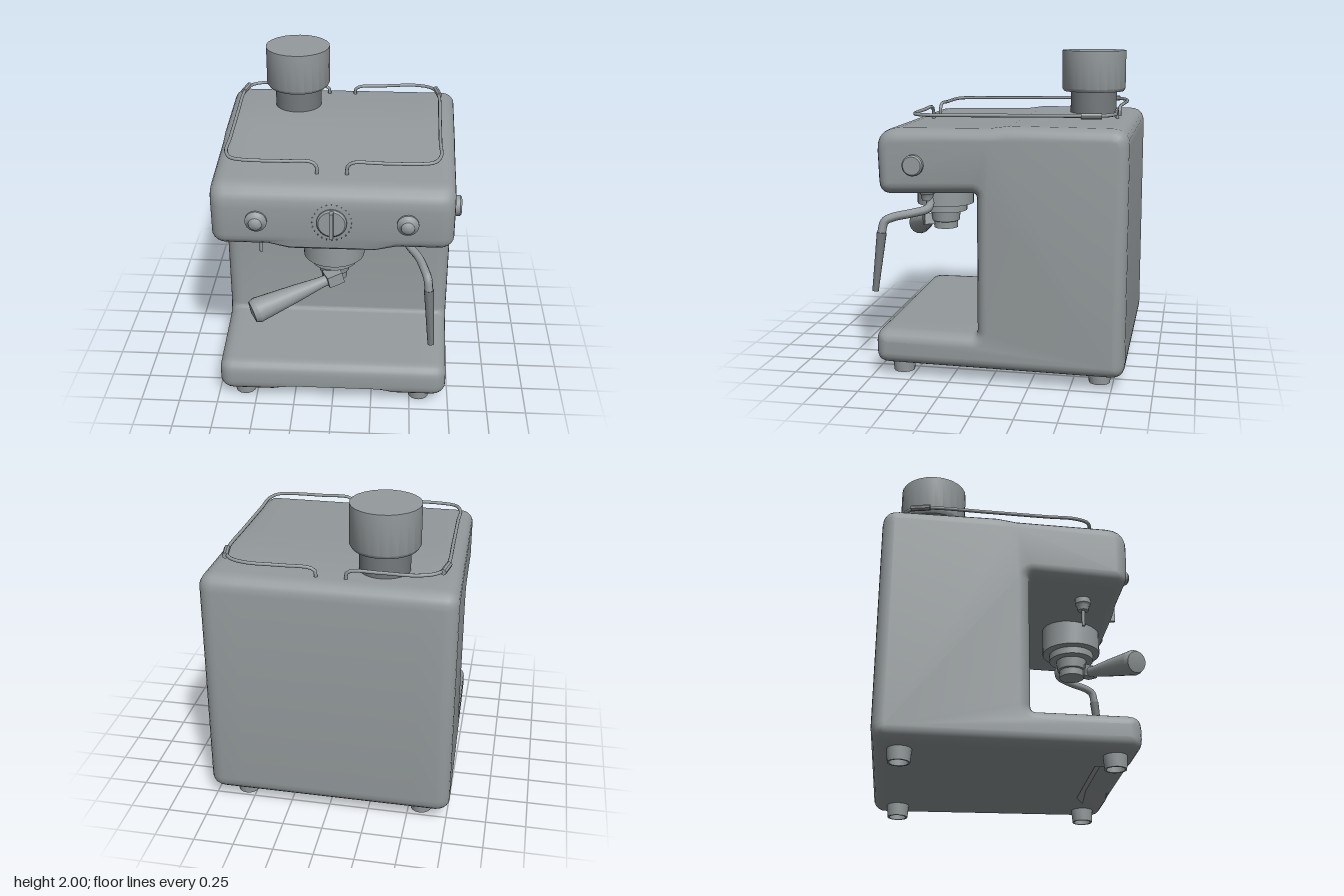
import * as THREE from 'three';
import { toCreasedNormals } from 'three/addons/utils/BufferGeometryUtils.js';

const steel = new THREE.MeshStandardMaterial({ color: 0x959b9d, side: THREE.DoubleSide });
steel.name = 'brushed steel';
const dark = new THREE.MeshStandardMaterial({ color: 0x74797b, side: THREE.DoubleSide });
dark.name = 'dark steel';

const V = (x, y, z) => new THREE.Vector3(x, y, z);

function add(parent, name, geometry, material = steel) {
  const mesh = new THREE.Mesh(geometry, material);
  mesh.name = name;
  parent.add(mesh);
  return mesh;
}

// Turned part around y, from [radius, height] pairs, with crisp edges
function turned(points, segments = 24) {
  const g = new THREE.LatheGeometry(points.map(p => new THREE.Vector2(...p)), segments);
  return toCreasedNormals(g, 0.6);
}

// Turned part laid along the line a-b, heights measured from a
function turnedAlong(points, a, b, segments = 16) {
  const q = new THREE.Quaternion().setFromUnitVectors(V(0, 1, 0), b.clone().sub(a).normalize());
  return turned(points, segments).applyQuaternion(q).translate(a.x, a.y, a.z);
}

function tube(points, radius, segments = 48) {
  const curve = new THREE.CatmullRomCurve3(points.map(p => V(...p)), false, 'centripetal');
  return new THREE.TubeGeometry(curve, segments, radius, 8);
}

// Closed outline from [x, y, cornerRadius] entries
function roundedOutline(pts) {
  const shape = new THREE.Shape();
  pts.forEach(([x, y, r], i) => {
    const p = new THREE.Vector2(x, y);
    const prev = pts[(i + pts.length - 1) % pts.length];
    const next = pts[(i + 1) % pts.length];
    const toward = q => new THREE.Vector2(q[0], q[1]).sub(p).setLength(r).add(p);
    const a = r ? toward(prev) : p;
    if (i === 0) shape.moveTo(a.x, a.y); else shape.lineTo(a.x, a.y);
    if (r) {
      const b = toward(next);
      shape.quadraticCurveTo(x, y, b.x, b.y);
    }
  });
  shape.closePath();
  return shape;
}

// C-shaped housing: side profile swept across the width with rounded sides
function housingGeometry() {
  const profile = roundedOutline([
    [-0.83, 0.08, 0.09], [0.5, 0.08, 0], [0.56, 0.08, 0], [0.73, 0.08, 0.08],
    [0.73, 0.3, 0.08], [0.08, 0.3, 0.03], [0.08, 1.18, 0.03], [0.69, 1.155, 0.08],
    [0.705, 1.56, 0.14], [0, 1.57, 0], [-0.12, 1.587, 0], [-0.83, 1.585, 0.1],
  ]);
  const g = new THREE.ExtrudeGeometry(profile, {
    depth: 1.36, steps: 10, curveSegments: 5,
    bevelThickness: 0.09, bevelSize: 0.072, bevelOffset: -0.072, bevelSegments: 5,
  });
  g.translate(0, 0, -0.68).rotateY(-Math.PI / 2);
  const p = g.attributes.position;
  for (let i = 0; i < p.count; i++) {
    const x = p.getX(i), y = p.getY(i), z = p.getZ(i);
    if (Math.abs(x) < 0.3) {
      if (z > 0.53 && y < 0.13) p.setY(i, 0.13);                       // grip notch under the base
      if (z > 0.15 && y > 1.1 && y < 1.2) p.setY(i, y - 0.03);         // lowered middle of the head
    }
    p.setX(i, x * (1 - 0.055 * THREE.MathUtils.clamp((z + 0.83) / 1.53, 0, 1)));
  }
  g.deleteAttribute('uv');
  g.deleteAttribute('normal');
  return toCreasedNormals(g, 0.6);
}

export function createModel() {
  const model = new THREE.Group();
  model.name = 'espressoMachine';
  add(model, 'housing', housingGeometry());

  // Hollow feet
  const footProfile = [[0, 0.09], [0.055, 0.09], [0.055, 0], [0.066, 0], [0.075, 0.1]];
  for (const x of [-0.58, 0.56]) for (const z of [0.585, -0.665]) {
    add(model, 'foot', turned(footProfile, 16)).position.set(x, 0, z);
  }

  // Bean hopper on its neck
  const hopper = new THREE.Group();
  hopper.name = 'beanHopper';
  hopper.position.set(-0.298, 0, -0.513);
  model.add(hopper);
  add(hopper, 'hopperNeck', turned([[0.155, 1.55], [0.155, 1.74]], 24), dark);
  add(hopper, 'hopperCup', turned([[0, 1.73], [0.2, 1.73], [0.213, 1.75], [0.213, 2], [0, 2]], 24));

  // Cup rails: one half, mirrored
  for (const s of [1, -1]) {
    const rail = new THREE.Group();
    rail.name = s > 0 ? 'leftCupRail' : 'rightCupRail';
    rail.position.x = -0.01;
    model.add(rail);
    const path = [
      [0.09, 1.56, 0.5], [0.092, 1.61, 0.5], [0.12, 1.638, 0.5], [0.3, 1.64, 0.5], [0.53, 1.64, 0.495],
      [0.61, 1.64, 0.47], [0.65, 1.64, 0.38], [0.652, 1.642, 0.2], [0.66, 1.648, -0.2], [0.664, 1.653, -0.52],
      [0.645, 1.653, -0.63], [0.6, 1.652, -0.69], [0.5, 1.65, -0.725], [0.3, 1.645, -0.715],
      [0.12, 1.638, -0.705], [0.092, 1.62, -0.705], [0.09, 1.57, -0.705],
    ].map(([x, y, z]) => [s * x, y, z]);
    add(rail, 'railRod', tube(path, 0.011, 90));
    const a = V(s * 0.668, 1.653, -0.54), b = V(s * 0.645, 1.653, -0.66);
    add(rail, 'railSleeve', turnedAlong([[0, 0], [0.019, 0], [0.019, 0.122], [0, 0.122]], a, b, 8));
  }

  // Front knobs: flange with a domed cap
  const knobProfile = [[0.066, -0.02], [0.066, 0.012], [0.05, 0.022], [0.045, 0.03],
    [0.04, 0.045], [0.024, 0.056], [0, 0.06]];
  for (const x of [-0.45, 0.45]) {
    add(model, 'frontKnob', turned(knobProfile, 20).rotateX(Math.PI / 2)).position.set(x, 1.34, 0.7);
  }

  // Centre dial with grip and dotted scale
  const dial = new THREE.Group();
  dial.name = 'centreDial';
  dial.position.set(0, 1.34, 0.7);
  model.add(dial);
  add(dial, 'dialDisc', turned([[0.09, -0.02], [0.09, 0.01], [0.08, 0.02], [0, 0.022]], 32).rotateX(Math.PI / 2));
  add(dial, 'dialGrip', new THREE.BoxGeometry(0.024, 0.17, 0.05)).position.z = 0.03;
  for (let i = 0; i < 24; i++) {
    const a = i / 24 * Math.PI * 2;
    const dot = add(dial, 'scaleDot', new THREE.CylinderGeometry(0.004, 0.004, 0.008, 6).rotateX(Math.PI / 2));
    dot.position.set(0.118 * Math.cos(a), 0.118 * Math.sin(a), 0);
  }

  // Steam dial on the left side
  const sideProfile = [[0.064, 0], [0.064, 0.05], [0.055, 0.06], [0, 0.06]];
  add(model, 'sideDial', turned(sideProfile, 20).rotateZ(-Math.PI / 2)).position.set(0.715, 1.348, 0.455);

  // Brewing group with filter basket
  add(model, 'brewGroup', turned([[0.19, 1.18], [0.19, 0.99], [0.145, 0.985], [0.145, 0.94],
    [0.1, 0.935], [0.092, 0.87], [0.082, 0.865], [0.08, 0.82], [0, 0.82]], 28)).position.set(0, 0, 0.445);

  // Filter handle
  const handle = new THREE.Group();
  handle.name = 'filterHandle';
  model.add(handle);
  const start = V(0.04, 0.875, 0.53), end = V(-0.485, 0.735, 0.77);
  const len = start.distanceTo(end);
  add(handle, 'handleGrip', turnedAlong([[0, 0.04], [0.032, 0.04], [0.036, 0.14], [0.055, 0.3],
    [0.076, len - 0.07], [0.08, len - 0.03], [0.068, len], [0, len + 0.01]], start, end));
  const clip = add(handle, 'handleClip', new THREE.BoxGeometry(0.1, 0.075, 0.1));
  clip.position.set(0.0, 0.87, 0.55);
  clip.rotation.set(0, 0.43, 0.22);

  // Hot water spout
  const collarProfile = [[0.05, 1.18], [0.05, 1.13], [0.042, 1.12], [0.034, 1.085], [0, 1.085]];
  const spout = new THREE.Group();
  spout.name = 'waterSpout';
  spout.position.set(-0.46, 0, 0.45);
  model.add(spout);
  add(spout, 'spoutCollar', turned(collarProfile, 12));
  add(spout, 'spoutPipe', new THREE.CylinderGeometry(0.011, 0.011, 0.13, 10)).position.y = 1.045;

  // Steam wand
  const wand = new THREE.Group();
  wand.name = 'steamWand';
  model.add(wand);
  add(wand, 'wandCollar', turned(collarProfile, 12)).position.set(0.45, 0, 0.45);
  add(wand, 'wandPipe', tube([[0.45, 1.12, 0.45], [0.452, 1.07, 0.43], [0.475, 1.035, 0.44],
    [0.53, 1.012, 0.53], [0.565, 0.99, 0.64], [0.582, 0.965, 0.69], [0.592, 0.89, 0.71]], 0.027, 32));
  add(wand, 'wandTip', turnedAlong([[0, 0], [0.031, 0], [0.02, 0.375], [0, 0.375]],
    V(0.592, 0.895, 0.708), V(0.618, 0.52, 0.75)), dark);

  return model;
}
